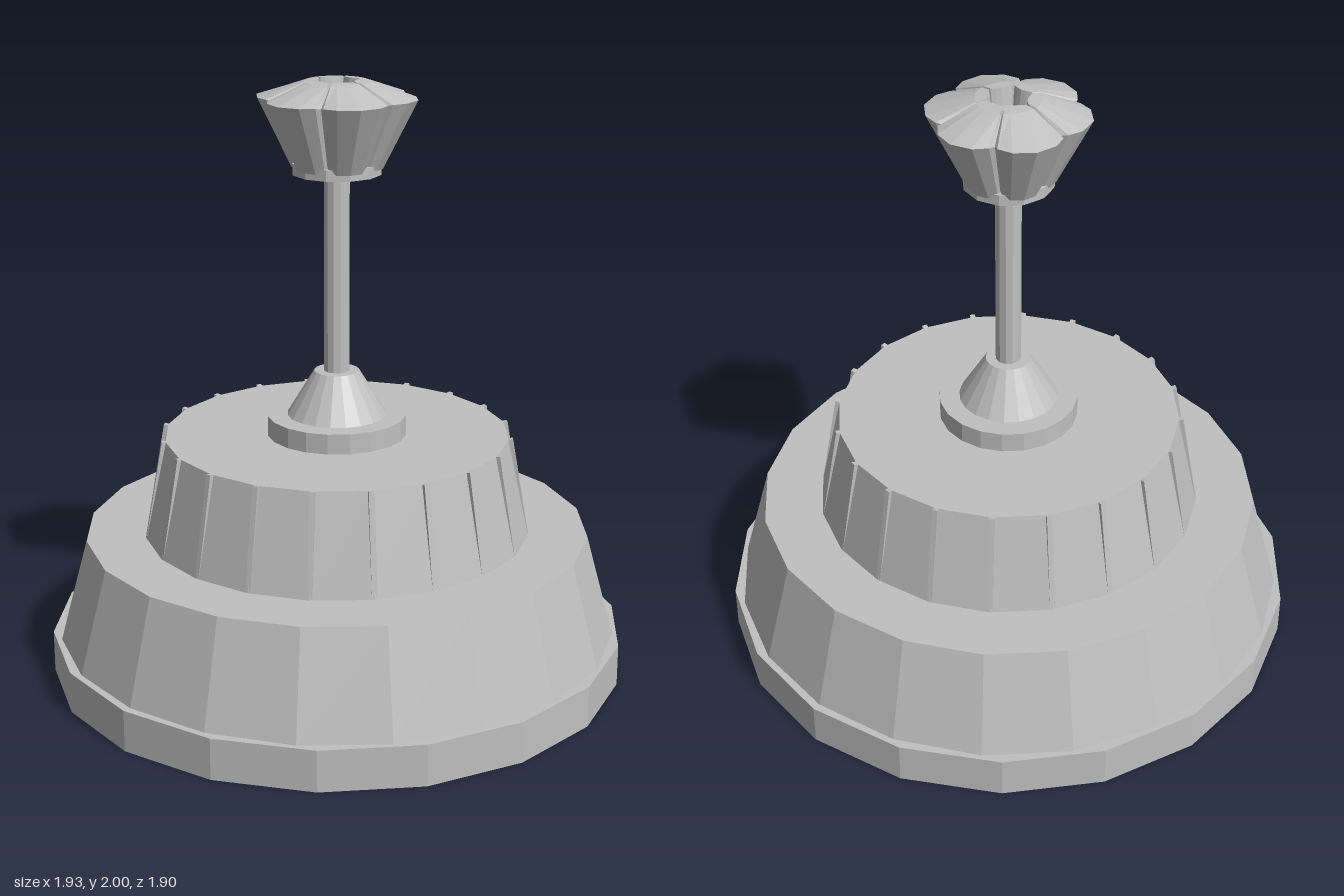
import * as THREE from 'three';

const metal = new THREE.MeshStandardMaterial({ color: 0xc0c0c0, flatShading: true });
metal.name = 'grey metal';

// Upright faceted drum with one corner on +x
function drum(name, rTop, rBottom, y0, y1, sides) {
  const geo = new THREE.CylinderGeometry(rTop, rBottom, y1 - y0, sides, 1, false, Math.PI / 2);
  const mesh = new THREE.Mesh(geo, metal);
  mesh.name = name;
  mesh.position.y = (y0 + y1) / 2;
  return mesh;
}

// Six-lobed flared handle: rings of [tip radius, notch radius, tip y, notch y]
function lobedHead() {
  const offsets = [-30, -27, -16, 0, 16, 27]; // degrees across one lobe
  const bulge = [0, 0.4, 0.8, 1, 0.8, 0.4];
  const rings = [
    [0, 0, 1.72, 1.72],
    [0.152, 0.118, 1.72, 1.72],
    [0.265, 0.208, 1.945, 1.94],
    [0.105, 0.105, 1.997, 1.985],
    [0.06, 0.088, 2.0, 1.975],
    [0.045, 0.06, 1.88, 1.88],
    [0, 0, 1.88, 1.88],
  ];
  const n = offsets.length * 6;
  const pos = [], index = [];
  for (const [rTip, rNotch, yTip, yNotch] of rings) {
    for (let i = 0; i < n; i++) {
      const k = i % 6;
      const a = THREE.MathUtils.degToRad(Math.floor(i / 6) * 60 + offsets[k]);
      const r = THREE.MathUtils.lerp(rNotch, rTip, bulge[k]);
      const y = k === 0 ? yNotch : yTip;
      pos.push(r * Math.cos(a), y, -r * Math.sin(a));
    }
  }
  for (let j = 0; j < rings.length - 1; j++) {
    for (let i = 0; i < n; i++) {
      const a = j * n + i, b = j * n + (i + 1) % n, c = a + n, d = b + n;
      if (j > 0) index.push(a, b, d);
      if (j === 0) index.push(a, d, c);
      else if (j < rings.length - 2) index.push(a, d, c);
    }
  }
  const geo = new THREE.BufferGeometry();
  geo.setAttribute('position', new THREE.Float32BufferAttribute(pos, 3));
  geo.setIndex(index);
  geo.computeVertexNormals();
  const mesh = new THREE.Mesh(geo, metal);
  mesh.name = 'lobedHead';
  return mesh;
}

export function createModel() {
  const model = new THREE.Group();
  model.name = 'pushLever';

  // Stepped base
  model.add(
    drum('baseRim', 0.967, 0.967, 0, 0.14, 18),
    drum('lowerTier', 0.845, 0.94, 0.14, 0.487, 20),
    drum('upperTier', 0.575, 0.648, 0.487, 0.82, 20),
  );

  // Thin ribs along the corners of the upper tier
  const ribs = new THREE.Group();
  ribs.name = 'ribs';
  const ribGeo = new THREE.BoxGeometry(0.018, 0.335, 0.03);
  ribGeo.rotateX(-0.175);
  ribGeo.translate(0, 0.655, 0.602);
  for (let i = 0; i < 20; i++) {
    const rib = new THREE.Mesh(ribGeo, metal);
    rib.name = 'rib';
    rib.rotation.y = i * Math.PI / 10;
    ribs.add(rib);
  }
  model.add(ribs);

  // Collar, cone and rod
  model.add(
    drum('collar', 0.232, 0.232, 0.82, 0.888, 20),
    drum('cone', 0.075, 0.165, 0.888, 1.037, 20),
    drum('rod', 0.043, 0.043, 1.037, 1.95, 12),
  );

  // Handle on top of the rod
  model.add(drum('headPlate', 0.147, 0.147, 1.7, 1.737, 12), lobedHead());
  return model;
}
